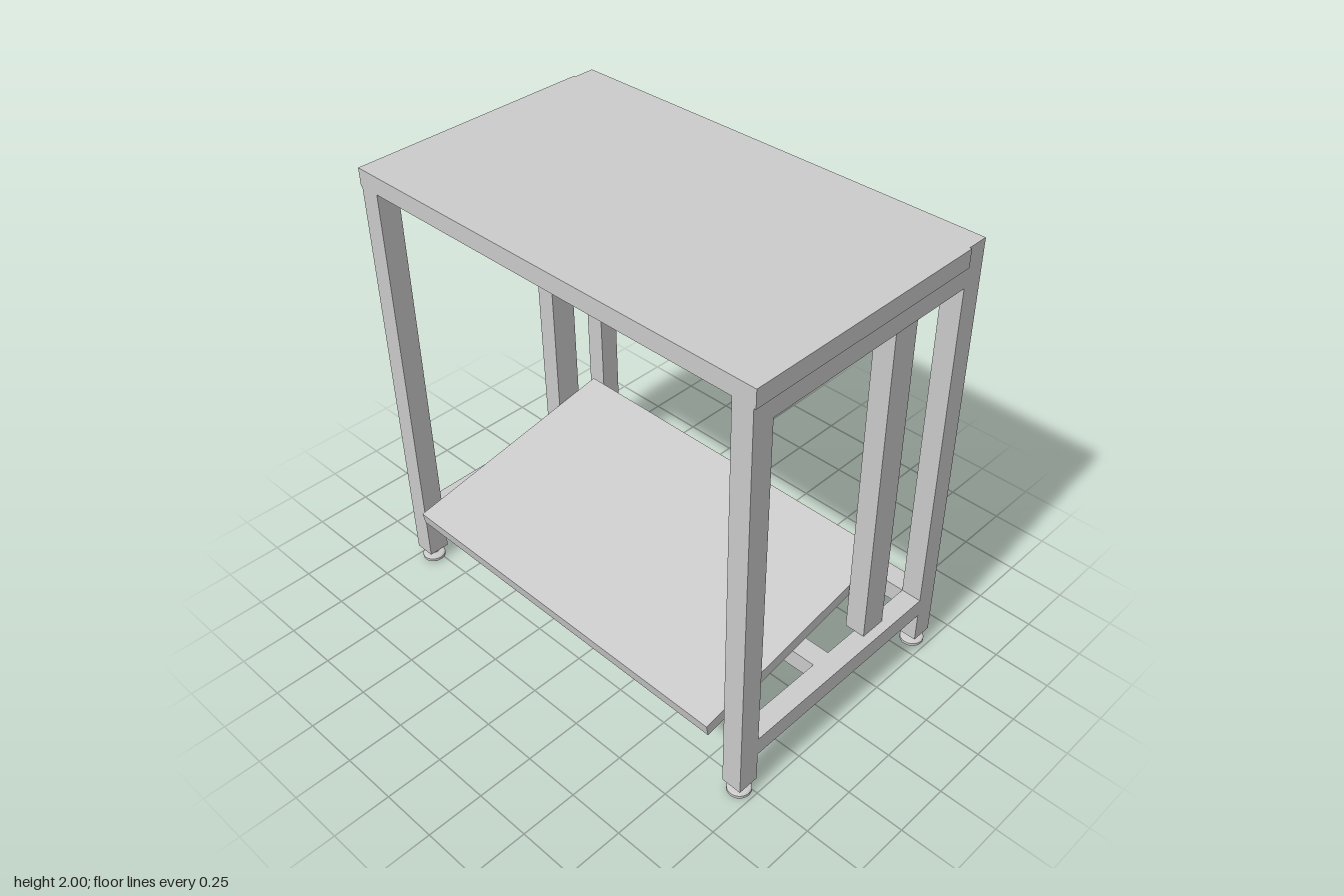
import * as THREE from 'three';

const material = new THREE.MeshStandardMaterial({ color: 0xcccccc, flatShading: true });

// Box given by its limits on each axis
function bar(parent, name, [x0, x1], [y0, y1], [z0, z1]) {
  const mesh = new THREE.Mesh(new THREE.BoxGeometry(x1 - x0, y1 - y0, z1 - z0), material);
  mesh.position.set((x0 + x1) / 2, (y0 + y1) / 2, (z0 + z1) / 2);
  mesh.name = name;
  parent.add(mesh);
  return mesh;
}

// Levelling foot: disc, tapered collar, threaded stem and lock nut
function levellingFoot(parent, x, z) {
  const profile = [
    [0, 0.01], [0.045, 0.01], [0.05, 0.015], [0.05, 0.028], [0.044, 0.033],
    [0.024, 0.036], [0.02, 0.04], [0.02, 0.062], [0.034, 0.062], [0.034, 0.072], [0, 0.072],
  ].map(([r, y]) => new THREE.Vector2(r, y));
  const mesh = new THREE.Mesh(new THREE.LatheGeometry(profile, 24), material);
  mesh.position.set(x, 0, z);
  mesh.name = 'levellingFoot';
  parent.add(mesh);
}

export function createModel() {
  const model = new THREE.Group();
  model.name = 'workTable';

  // The whole table leans very slightly about its middle
  const table = new THREE.Group();
  table.name = 'table';
  table.position.y = 1;
  table.rotation.set(0, -0.006, 0.016);
  model.add(table);
  const frame = new THREE.Group();
  frame.name = 'frame';
  frame.position.y = -1;
  table.add(frame);

  const legRight = [-0.591, -0.496];
  const legLeft = [0.504, 0.598];
  const outer = 0.985, inner = 0.895;

  for (const s of [1, -1]) {
    const span = (a, b) => (s > 0 ? [a, b] : [-b, -a]);
    const z = span(inner, outer);

    // Legs: the taller pair reaches the table surface
    bar(frame, 'shortLeg', legRight, [0.07, 1.913], z);
    bar(frame, 'tallLeg', legLeft, [0.07, 1.99], z);

    // End rails and the post between them
    bar(frame, 'upperEndRail', [legRight[1], legLeft[0]], [1.825, 1.913], z);
    bar(frame, 'lowerEndRail', [legRight[1], legLeft[0]], [0.214, 0.3], z);
    bar(frame, 'post', [0.186, 0.306], [0.3, 1.825], span(0.852, 0.942));

    for (const leg of [legRight, legLeft]) {
      levellingFoot(frame, (leg[0] + leg[1]) / 2, s * (inner + outer) / 2);
    }
  }

  // Long rails
  bar(frame, 'upperLongRail', legLeft, [1.904, 1.99], [-inner, inner]);
  bar(frame, 'lowerLongRail', legLeft, [0.214, 0.3], [-inner, inner]);
  bar(frame, 'middleLongRail', [-0.07, 0.02], [0.214, 0.3], [-inner, inner]);

  // Table top
  bar(frame, 'tableTop', [-0.591, legLeft[0]], [1.913, 1.99], [-0.994, 0.994]);

  // Sloping shelf
  const shelf = bar(frame, 'slopingShelf', [-0.525, 0.525], [-0.028, 0.028], [-0.848, 0.848]);
  shelf.position.set(-0.112, 0.438, 0);
  shelf.rotation.z = 0.175;

  return model;
}
